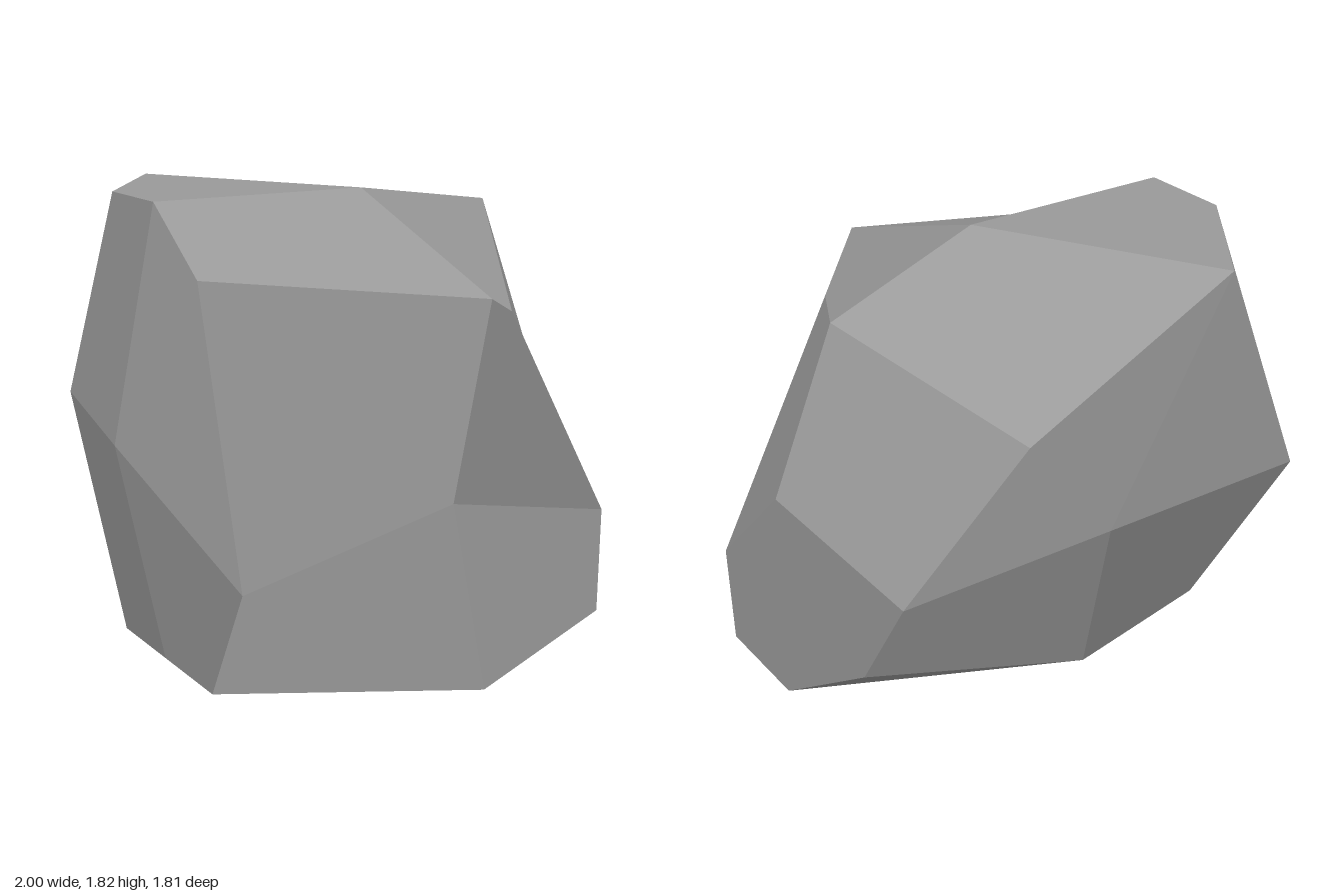
import * as THREE from 'three';

// Cage of a 2x2x2 cube pulled into a boulder: layers back to front,
// rows bottom to top, points from -x to +x
const cage = [
  [ // back
    [[-0.83, 0, -0.38], [0.07, 0.23, -0.76], [0.98, 0.45, -0.62]],
    [[-0.83, 0.905, -0.905], [0.075, 0.905, -0.905], [0.98, 0.905, -0.905]],
    [[-0.83, 1.815, -0.38], [-0.45, 1.815, -0.905], [0.45, 1.375, -0.905]],
  ],
  [ // middle
    [[-0.83, 0, 0], [0.075, 0, 0], [0.98, 0, 0]],
    [[-1, 0.89, -0.04], null, [0.98, 0.905, 0]],
    [[-0.83, 1.815, 0], [0.075, 1.815, 0], [0.84, 1.7, -0.24]],
  ],
  [ // front
    [[-0.83, 0, 0.415], [0.075, 0, 0.905], [0.98, 0, 0.46]],
    [[-0.83, 0.475, 0.675], [0.08, 0.675, 0.675], [1, 0.445, 0.445]],
    [[-0.83, 1.57, 0.36], [0.075, 1.505, 0.905], [0.39, 1.38, 0.6]],
  ],
];

const point = ([i, j, k]) => new THREE.Vector3(...cage[k][j][i]);

function rockGeometry() {
  const positions = [], normals = [];
  for (let axis = 0; axis < 3; axis++) for (const side of [-1, 1]) {
    const u = (axis + 1) % 3, v = (axis + 2) % 3;
    for (const du of [-1, 1]) for (const dv of [-1, 1]) {
      // one quarter of a side: centre, two edge middles and a corner
      const at = (a, b) => {
        const index = [1, 1, 1];
        index[axis] += side;
        index[u] += a;
        index[v] += b;
        return point(index);
      };
      const turn = du * dv * side;
      const centre = at(0, 0), corner = at(du, dv);
      let m1 = at(du, 0), m2 = at(0, dv);
      if (turn < 0) [m1, m2] = [m2, m1];

      // one shared normal keeps each bent facet evenly shaded
      const normal = corner.clone().sub(centre).cross(m2.clone().sub(m1)).normalize();
      // all folds on a side run the same way across it
      const foldToCorner = axis === 0 ? turn > 0 : turn < 0;
      const corners = foldToCorner
        ? [centre, m1, corner, centre, corner, m2]
        : [centre, m1, m2, m1, corner, m2];
      for (const p of corners) {
        positions.push(p.x, p.y, p.z);
        normals.push(normal.x, normal.y, normal.z);
      }
    }
  }
  const geometry = new THREE.BufferGeometry();
  geometry.setAttribute('position', new THREE.Float32BufferAttribute(positions, 3));
  geometry.setAttribute('normal', new THREE.Float32BufferAttribute(normals, 3));
  return geometry;
}

export function createModel() {
  const stone = new THREE.MeshStandardMaterial({ color: 0x999999 });
  stone.name = 'grey stone';
  const rock = new THREE.Mesh(rockGeometry(), stone);
  rock.name = 'rock';
  const group = new THREE.Group();
  group.name = 'boulder';
  group.add(rock);
  return group;
}
